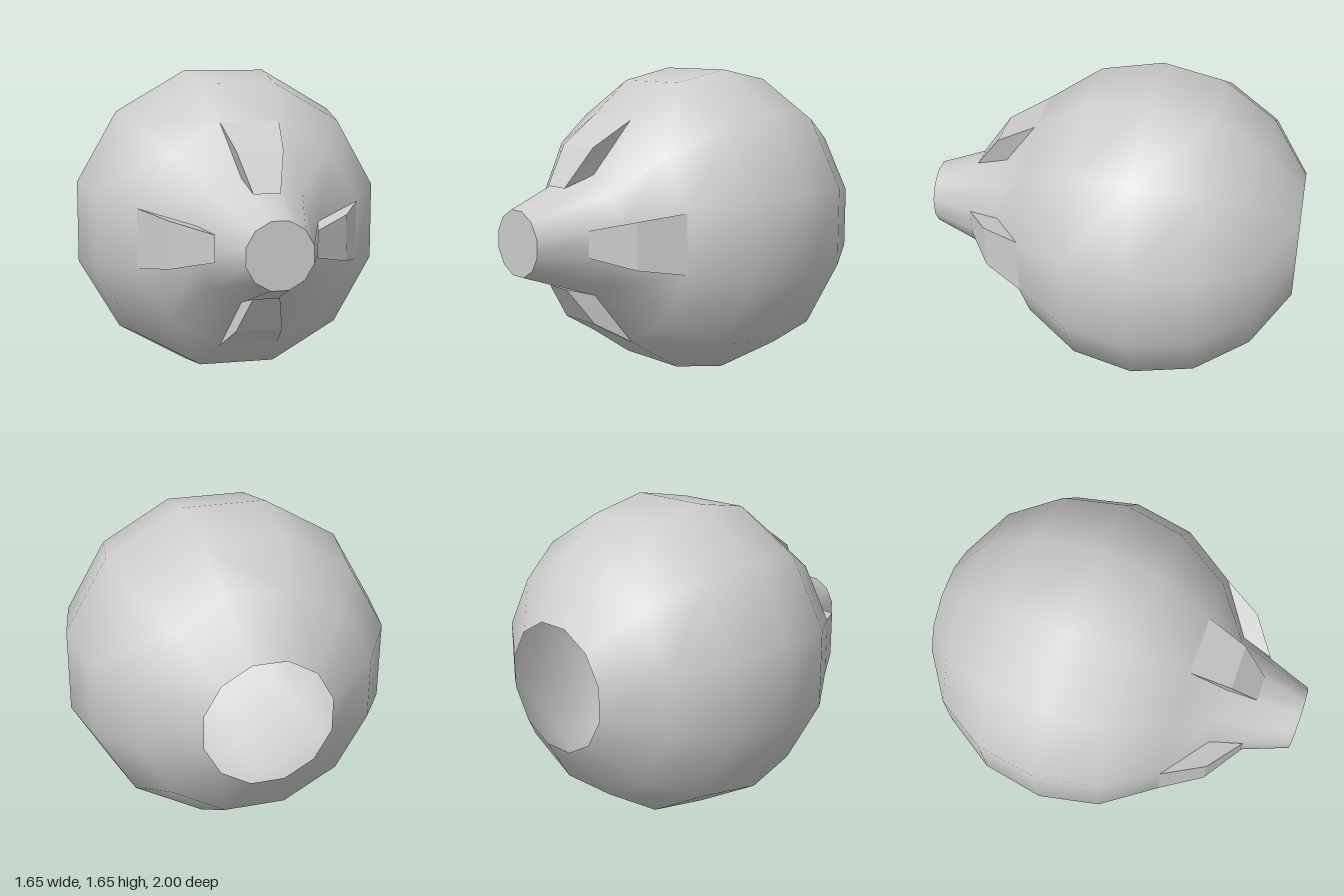
import * as THREE from 'three';

const SIDES = 12;
const CENTRE_Y = 0.828;

// Tapered fin: a four-point section (z, y) with its own half width at each point.
function finGeometry(section) {
  const right = section.map(([z, y, w]) => [w, y, z]);
  const left = section.map(([z, y, w]) => [-w, y, z]);
  const pos = [];
  const quad = (a, b, c, d) => pos.push(...a, ...b, ...c, ...a, ...c, ...d);
  quad(...right);
  quad(...[...left].reverse());
  for (let i = 0; i < 4; i++) {
    const j = (i + 1) % 4;
    quad(left[i], left[j], right[j], right[i]);
  }
  const geo = new THREE.BufferGeometry();
  geo.setAttribute('position', new THREE.Float32BufferAttribute(pos, 3));
  geo.computeVertexNormals();
  return geo;
}

export function createModel() {
  const group = new THREE.Group();
  const grey = new THREE.MeshStandardMaterial({ color: 0xcccccc, side: THREE.DoubleSide });
  grey.name = 'grey';

  const add = (name, geo) => {
    const mesh = new THREE.Mesh(geo, grey);
    mesh.name = name;
    mesh.position.y = CENTRE_Y;
    group.add(mesh);
    return mesh;
  };

  // Hollow body, open at the back: distance to the flat sides and z of each ring.
  const rings = [
    [0.32, -1], [0.59, -0.81], [0.765, -0.535], [0.826, -0.205],
    [0.765, 0.12], [0.582, 0.4], [0.314, 0.585], [0.165, 1],
  ];
  const toCorner = 1 / Math.cos(Math.PI / SIDES);
  const profile = rings.map(([r, z]) => new THREE.Vector2(r * toCorner, z));
  const body = new THREE.LatheGeometry(profile, SIDES, Math.PI / SIDES);
  body.rotateX(Math.PI / 2);
  add('body', body);

  // Flat end of the snout
  const cap = new THREE.CircleGeometry(0.165 * toCorner, SIDES, Math.PI / SIDES);
  cap.translate(0, 0, 1);
  add('snoutCap', cap);

  // Four fins around the snout
  const fin = finGeometry([
    [0.4, 0.582, 0.155], [0.615, 0.455, 0.12], [0.757, 0.258, 0.068], [0.585, 0.312, 0.085],
  ]);
  ['topFin', 'rightFin', 'bottomFin', 'leftFin'].forEach((name, i) => {
    add(name, fin).rotation.z = i * Math.PI / 2;
  });

  return group;
}
